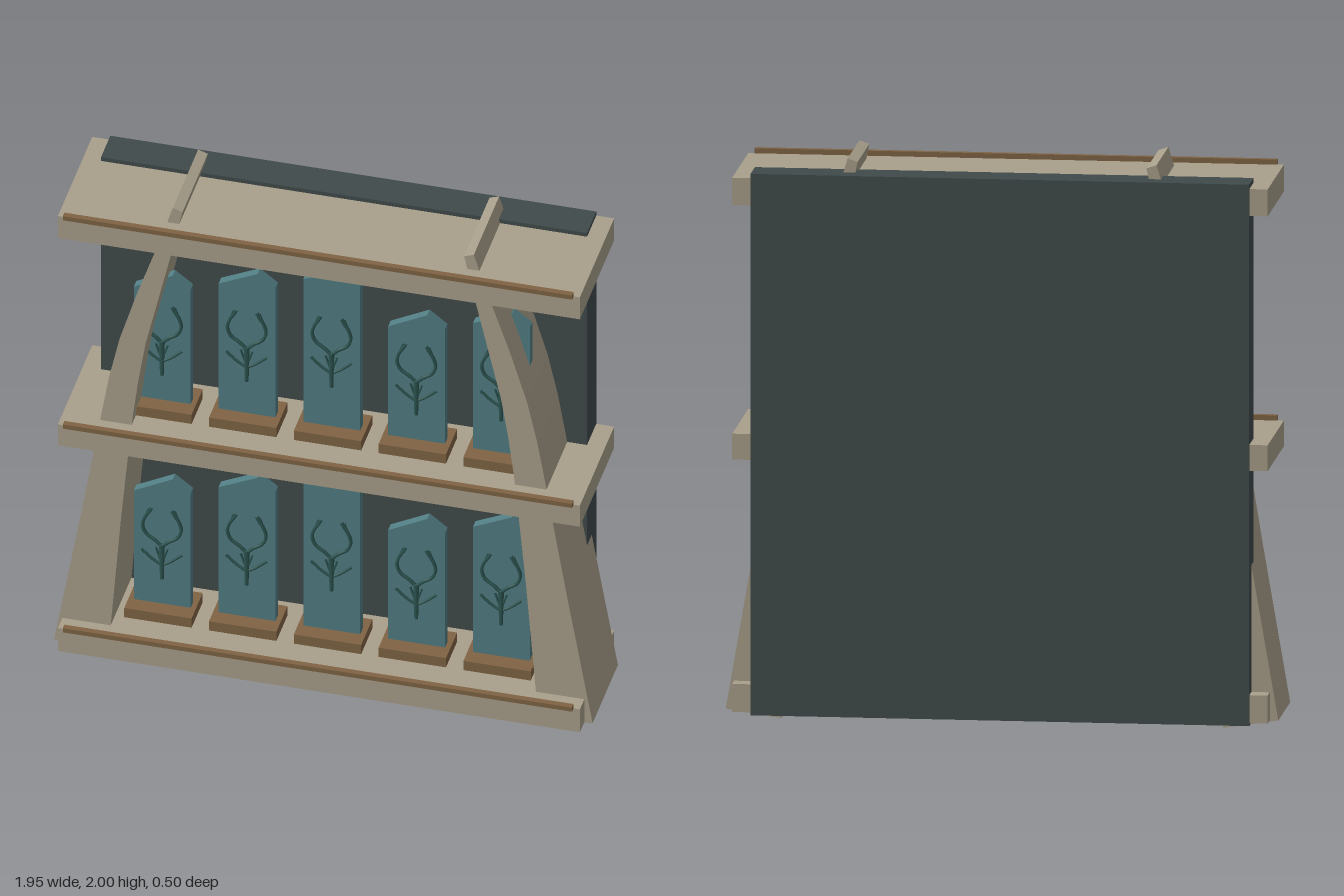
import * as THREE from 'three';

const mat = (name, color) => {
  const m = new THREE.MeshStandardMaterial({ color });
  m.name = name;
  return m;
};

export function createModel() {
  const stone = mat('sandstone', 0xa89f8a);
  const slate = mat('dark slate', 0x404a4b);
  const teal = mat('teal stone', 0x517d84);
  const wood = mat('brown wood', 0x7f6344);
  const green = mat('dark green metal', 0x2d5551);

  const root = new THREE.Group();
  root.name = 'displayShelf';

  const add = (parent, name, geometry, material) => {
    const mesh = new THREE.Mesh(geometry, material);
    mesh.name = name;
    parent.add(mesh);
    return mesh;
  };

  // box given by its minimum and maximum corners
  const box = (parent, name, material, x0, x1, y0, y1, z0, z1) => {
    const mesh = add(parent, name, new THREE.BoxGeometry(x1 - x0, y1 - y0, z1 - z0), material);
    mesh.position.set((x0 + x1) / 2, (y0 + y1) / 2, (z0 + z1) / 2);
    return mesh;
  };

  // outline in the front plane, extruded from z0 to z1
  const slab = (parent, name, material, points, z0, z1) => {
    const shape = new THREE.Shape(points.map(([x, y]) => new THREE.Vector2(x, y)));
    const geometry = new THREE.ExtrudeGeometry(shape, { depth: z1 - z0, bevelEnabled: false });
    geometry.translate(0, 0, z0);
    return add(parent, name, geometry, material);
  };

  // back panel
  box(root, 'backPanel', slate, -0.88, 0.88, 0.02, 1.95, -0.25, -0.12);

  // three boards, each with a thin lip along the front edge
  for (const [name, y0, y1] of [['bottom', 0.03, 0.13], ['middle', 0.93, 1.022], ['top', 1.838, 1.934]]) {
    box(root, name + 'Board', stone, -0.945, 0.945, y0, y1, -0.248, 0.23);
    box(root, name + 'Lip', wood, -0.922, 0.922, y1, y1 + 0.018, 0.228, 0.25);
  }

  // tapering posts that curve inward toward the top
  const outer = [[0.975, 0.03], [0.877, 0.6], [0.823, 0.93], [0.802, 1.06], [0.775, 1.22],
    [0.738, 1.39], [0.675, 1.6], [0.597, 1.83], [0.545, 2.0]];
  const inner = [[0.51, 1.988], [0.543, 1.83], [0.595, 1.6], [0.643, 1.39], [0.67, 1.22],
    [0.69, 1.06], [0.703, 0.93], [0.733, 0.6], [0.78, 0]];
  for (const side of [-1, 1]) {
    const outline = [...outer, ...inner].map(([x, y]) => [x * side, y]);
    slab(root, side > 0 ? 'leftPost' : 'rightPost', stone, outline, -0.185, 0.168);
  }

  // antlered emblem: tapered stem, two side twigs and a pair of curved horns
  const tube = (points, radius, segments) => new THREE.TubeGeometry(
    new THREE.CatmullRomCurve3(points.map(([x, y]) => new THREE.Vector3(x, y, 0))), segments, radius, 6);
  const stemGeometry = new THREE.CylinderGeometry(0.011, 0.007, 0.15, 6).translate(0, 0.075, 0);
  const emblem = () => {
    const group = new THREE.Group();
    group.name = 'antlerEmblem';
    add(group, 'stem', stemGeometry, green);
    for (const s of [-1, 1]) {
      add(group, 'horn', tube([[0, 0.14], [s * 0.025, 0.165], [s * 0.058, 0.19], [s * 0.07, 0.225],
        [s * 0.06, 0.262], [s * 0.046, 0.285], [s * 0.036, 0.305]], 0.0065, 18), green);
      add(group, 'hornTip', tube([[s * 0.062, 0.258], [s * 0.053, 0.285], [s * 0.046, 0.303]], 0.004, 4), green);
      add(group, 'twig', tube([[s * 0.004, 0.062], [s * 0.035, 0.082], [s * 0.075, 0.118]], 0.005, 6), green);
      add(group, 'smallTwig', tube([[s * 0.006, 0.085], [s * 0.014, 0.11], [s * 0.022, 0.135]], 0.004, 4), green);
    }
    return group;
  };

  // two rows of pointed tablets on wooden plinths
  // [height of peak, drop to the -x shoulder, height of emblem]
  const small = [0.55, 0.075, 0.112];
  const medium = [0.615, 0.068, 0.143];
  const large = [0.68, 0.055, 0.175];
  for (const floor of [0.13, 1.022]) {
    [small, medium, large, small, medium].forEach(([height, drop, emblemY], i) => {
      const tablet = new THREE.Group();
      tablet.name = 'tablet' + (i + 1);
      tablet.position.set((i - 2) * 0.307, floor, 0);
      root.add(tablet);
      box(tablet, 'plinth', wood, -0.122, 0.122, 0, 0.04, -0.045, 0.11);
      const top = height + 0.04;
      slab(tablet, 'slab', teal, [[-0.103, 0.04], [0.103, 0.04], [0.103, top - 0.05],
        [0.038, top], [-0.103, top - drop]], 0.015, 0.05);
      const mark = emblem();
      mark.position.set(0, emblemY + 0.04, 0.055);
      tablet.add(mark);
    });
  }

  return root;
}
